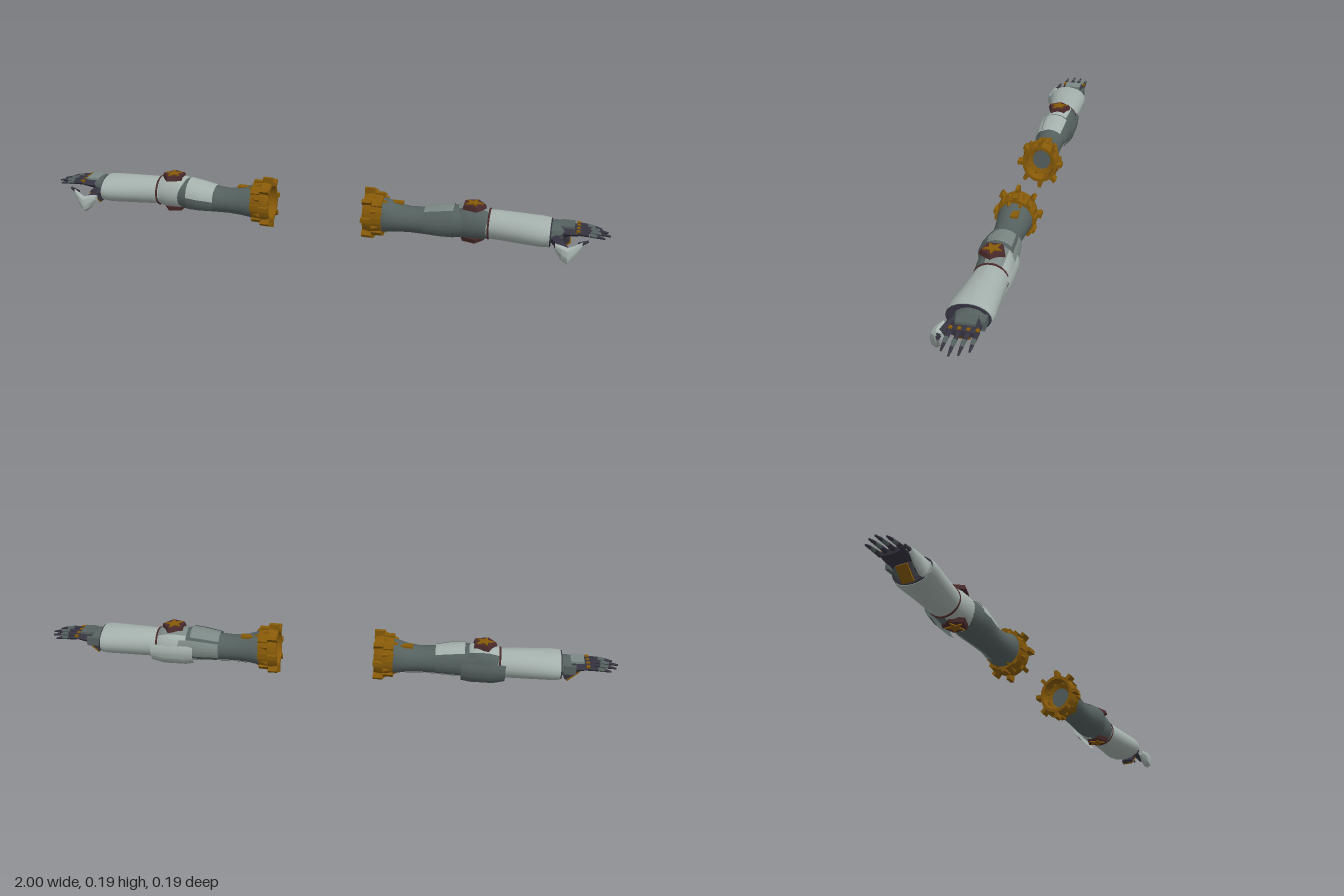
import * as THREE from 'three';
import { toCreasedNormals } from 'three/addons/utils/BufferGeometryUtils.js';

const mat = (name, color, side = THREE.FrontSide) => {
  const m = new THREE.MeshStandardMaterial({ color, side });
  m.name = name;
  return m;
};

// Skin over elliptical sections [x, yCentre, zCentre, yRadius, zRadius]; a partial sweep is left open.
function loft(sections, a0 = 0, a1 = Math.PI * 2, n = 24) {
  const pos = [], idx = [], row = n + 1;
  for (const [x, y, z, ry, rz] of sections)
    for (let j = 0; j <= n; j++) {
      const a = a0 + (a1 - a0) * j / n;
      pos.push(x, y + ry * Math.cos(a), z + rz * Math.sin(a));
    }
  for (let i = 0; i < sections.length - 1; i++)
    for (let j = 0; j < n; j++) {
      const a = i * row + j, c = a + row;
      idx.push(a, a + 1, c, a + 1, c + 1, c);
    }
  if (a1 - a0 > 6.28) {
    [sections[0], sections.at(-1)].forEach((s, end) => {
      const c = pos.length / 3, base = end ? (sections.length - 1) * row : 0;
      pos.push(s[0], s[1], s[2]);
      for (let j = 0; j < n; j++) idx.push(c, base + j + (end ? 0 : 1), base + j + (end ? 1 : 0));
    });
  }
  const g = new THREE.BufferGeometry();
  g.setAttribute('position', new THREE.Float32BufferAttribute(pos, 3));
  g.setIndex(idx);
  return g;
}

// Tapered bar between two points
function bar(p, q, r0, r1, sides = 6) {
  const a = new THREE.Vector3(...p), b = new THREE.Vector3(...q), d = b.clone().sub(a);
  const g = new THREE.CylinderGeometry(r1, r0, d.length(), sides);
  g.applyQuaternion(new THREE.Quaternion().setFromUnitVectors(new THREE.Vector3(0, 1, 0), d.normalize()));
  return g.translate(...a.add(b).multiplyScalar(0.5).toArray());
}

const box = (w, h, d, x, y, z) => new THREE.BoxGeometry(w, h, d).translate(x, y, z);

// Mirror across x = 0 and restore the winding
function mirrored(geo) {
  const g = geo.clone().scale(-1, 1, 1), p = g.attributes.position;
  for (let i = 0; i < p.count; i += 3) {
    const b = [p.getX(i + 1), p.getY(i + 1), p.getZ(i + 1)];
    p.setXYZ(i + 1, p.getX(i + 2), p.getY(i + 2), p.getZ(i + 2));
    p.setXYZ(i + 2, ...b);
  }
  return g;
}

function starShape(r) {
  const s = new THREE.Shape();
  for (let i = 0; i < 10; i++) {
    const a = i * Math.PI / 5, k = i % 2 ? r * 0.42 : r;
    i ? s.lineTo(k * Math.cos(a), k * Math.sin(a)) : s.moveTo(k, 0);
  }
  return s;
}

export function createModel() {
  const pale = mat('pale armour', 0xa5b1ad, THREE.DoubleSide);
  const mid = mat('plate grey', 0x7c8885, THREE.DoubleSide);
  const steel = mat('dark steel', 0x55615f, THREE.DoubleSide);
  const dark = mat('gunmetal', 0x35333f);
  const gold = mat('dark gold', 0x875a08);
  const maroon = mat('maroon', 0x4a2a2b);
  const model = new THREE.Group();
  const left = new THREE.Group(), right = new THREE.Group();
  left.name = 'leftArm';
  right.name = 'rightArm';
  model.add(left, right);

  // Each part goes on both arms; the armour colours swap front to back between them
  const add = (name, geo, leftMat, rightMat = leftMat) => {
    const g = toCreasedNormals(geo, 0.6);
    const l = new THREE.Mesh(g, leftMat);
    const r = new THREE.Mesh(toCreasedNormals(mirrored(g), 0.6), rightMat);
    l.name = r.name = name;
    left.add(l);
    right.add(r);
  };

  // Shoulder collar: hollow ring with a stepped gold mouth, eight pegs and broad pointed plates
  const place = (g) => g.scale(1, 1, 0.87).translate(0, 0.0965, -0.014);
  const ring = [[0.036, 0.212], [0.056, 0.204], [0.06, 0.17], [0.072, 0.17], [0.077, 0.195], [0.072, 0.236], [0.036, 0.236], [0.036, 0.212]]
    .map(([r, x]) => new THREE.Vector2(r, x));
  add('collarRing', place(new THREE.LatheGeometry(ring, 24).rotateZ(-Math.PI / 2)), gold);
  add('collarSocket', place(new THREE.CylinderGeometry(0.038, 0.038, 0.008, 24).rotateZ(Math.PI / 2).translate(0.215, 0, 0)), steel);
  for (let i = 0; i < 8; i++) {
    const a = i * Math.PI / 4;
    add('collarPeg', place(box(0.034, 0.03, 0.014, 0.185, 0.0785, 0).rotateX(a)), gold);
    add('collarPegFoot', place(box(0.036, 0.02, 0.02, 0.218, 0.07, 0).rotateX(a)), gold);
    add('collarPoint', place(bar([0.2, 0.066, 0], [0.25, 0.058, 0], 0.018, 0.005, 4).rotateX(a + Math.PI / 8)), gold);
  }

  // Upper arm with raised plates
  const upper = [
    [0.225, 0.096, -0.014, 0.063, 0.058], [0.24, 0.095, -0.014, 0.061, 0.06], [0.28, 0.091, -0.013, 0.05, 0.054],
    [0.33, 0.089, -0.012, 0.045, 0.049], [0.38, 0.09, -0.012, 0.047, 0.051], [0.44, 0.095, -0.012, 0.054, 0.058],
    [0.48, 0.098, -0.014, 0.057, 0.058], [0.52, 0.099, -0.02, 0.055, 0.055]];
  add('upperArm', loft(upper), steel);
  const grow = (s, d) => s.map(([x, y, z, ry, rz]) => [x, y, z, ry + d, rz + d]);
  add('upperArmTopPlate', loft(grow(upper.slice(4, 7), 0.004), -0.8, 0.6, 10), mid, pale);
  add('upperArmFrontPlate', loft(grow(upper.slice(4, 7), 0.006), 0.6, 1.45, 8), steel, pale);
  add('upperArmLowerPlate', loft(grow(upper.slice(4, 7), 0.006), 1.45, 2.2, 8), steel);
  add('upperArmBackPlate', loft(grow(upper.slice(4, 8), 0.006), 4.3, 5.3, 10), mid, steel);
  add('upperArmStripe', loft(grow(upper.slice(2, 7), 0.003), 3.5, 3.9, 4), steel, mid);
  add('upperArmStud', box(0.044, 0.008, 0.024, 0.28, 0.141, -0.025), gold);

  // Elbow casing in three panels, with a rear guard
  const elbow = [
    [0.485, 0.099, -0.018, 0.048, 0.045], [0.5, 0.1, -0.02, 0.058, 0.055], [0.525, 0.101, -0.022, 0.062, 0.058],
    [0.56, 0.101, -0.023, 0.062, 0.058], [0.588, 0.1, -0.023, 0.056, 0.056], [0.602, 0.099, -0.022, 0.048, 0.05]];
  add('elbowTop', loft(elbow, -0.7, 0.4, 8), mid, pale);
  add('elbowFront', loft(elbow, 0.4, Math.PI, 12), steel, pale);
  add('elbowBack', loft(elbow, Math.PI, Math.PI * 2 - 0.7, 12), pale, steel);
  add('elbowGuard', loft([
    [0.47, 0.085, -0.022, 0.056, 0.06], [0.5, 0.085, -0.022, 0.062, 0.064],
    [0.58, 0.085, -0.022, 0.062, 0.064], [0.62, 0.088, -0.022, 0.054, 0.061]], 3.75, 5.2, 10), pale, steel);

  // Maroon five-sided elbow hubs with gold stars, above and below
  for (const s of [1, -1]) {
    const y = 0.103 + s * 0.058;
    add('elbowHub', new THREE.CylinderGeometry(s > 0 ? 0.04 : 0.045, s > 0 ? 0.045 : 0.04, 0.016, 5)
      .rotateY(Math.PI / 2).translate(0.545, y, -0.016), maroon);
    add('elbowStar', new THREE.ExtrudeGeometry(starShape(0.033), { depth: 0.005, bevelEnabled: false })
      .rotateX(-s * Math.PI / 2).translate(0.545, y + s * 0.007, -0.016), gold);
  }
  add('elbowSeam', new THREE.TorusGeometry(1, 0.06, 6, 32).rotateY(Math.PI / 2)
    .scale(0.06, 0.051, 0.054).translate(0.6, 0.098, -0.022), maroon);

  // Forearm shell widening to the wrist, closed by a dark end
  add('forearm', loft([
    [0.59, 0.098, -0.023, 0.048, 0.054], [0.62, 0.098, -0.021, 0.05, 0.057], [0.7, 0.097, -0.015, 0.05, 0.064],
    [0.78, 0.096, -0.009, 0.049, 0.073], [0.805, 0.096, -0.007, 0.046, 0.071]]), pale);
  add('wristSocket', loft([[0.8, 0.096, -0.007, 0.045, 0.0695], [0.809, 0.096, -0.007, 0.044, 0.068]]), dark);

  // Wrist, palm and back of the hand
  add('wrist', loft([
    [0.805, 0.098, -0.014, 0.034, 0.05], [0.83, 0.103, -0.016, 0.03, 0.046], [0.85, 0.107, -0.017, 0.02, 0.04]], 0, Math.PI * 2, 12), steel);
  add('palm', loft([
    [0.835, 0.106, -0.018, 0.022, 0.042], [0.87, 0.109, -0.018, 0.018, 0.046], [0.905, 0.11, -0.016, 0.011, 0.042]], 0, Math.PI * 2, 8), dark);
  add('handPlate', box(0.045, 0.008, 0.06, 0.86, 0.127, -0.018), steel, mid);
  const tilt = (g) => g.rotateZ(0.75).translate(0.85, 0.062, 0);
  add('palmPlate', tilt(box(0.055, 0.006, 0.04, 0, -0.003, 0)), gold);
  add('palmPlateBacking', tilt(box(0.055, 0.012, 0.042, 0, 0.006, 0)), dark);
  add('wristFin', box(0.04, 0.03, 0.012, 0.835, 0.105, -0.062), steel);

  // Four jointed fingers
  [-0.058, -0.032, -0.006, 0.02].forEach((z, i) => {
    const tip = [0.972, 0.992, 1, 0.982][i], base = 0.895, w = tip - base;
    const at = (t) => [base + w * t, 0.113 - 0.009 * t * t, z + t * 0.003];
    add('fingerBase', bar(at(0), at(0.4), 0.008, 0.007), dark);
    add('fingerMiddle', bar(at(0.42), at(0.7), 0.0075, 0.006), steel);
    add('fingerTip', bar(at(0.7), at(1), 0.006, 0.003), dark);
    add('knuckle', box(0.012, 0.008, 0.01, base, 0.119, z), gold);
  });

  // Thumb with a pale wedge-shaped cover
  add('thumbJoint', bar([0.82, 0.09, 0.028], [0.855, 0.066, 0.058], 0.018, 0.016), dark);
  add('thumbCover', loft([
    [0.825, 0.075, 0.062, 0.012, 0.01], [0.848, 0.06, 0.07, 0.026, 0.018],
    [0.868, 0.051, 0.073, 0.03, 0.019], [0.89, 0.067, 0.066, 0.022, 0.015],
    [0.912, 0.09, 0.056, 0.009, 0.008]], 0, Math.PI * 2, 8), pale);
  add('thumbTip', bar([0.9, 0.088, 0.056], [0.93, 0.1, 0.047], 0.009, 0.004), dark);

  return model;
}
